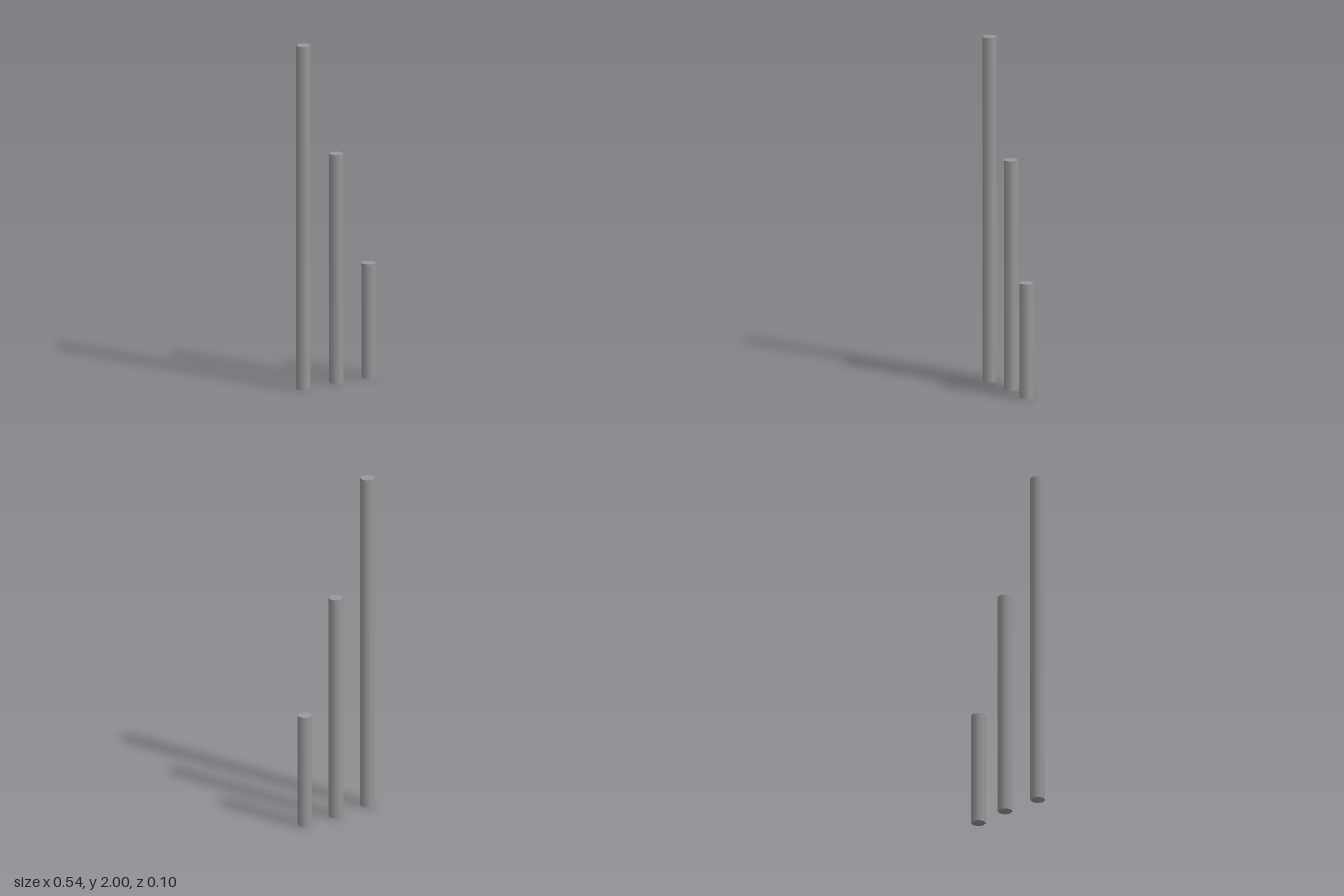
import * as THREE from 'three';

const RADIUS = 0.042;

// Three upright eight-sided rods in descending height
const RODS = [
  { name: 'tallRod', x: -0.228, z: 0.0063, height: 2 },
  { name: 'middleRod', x: 0.0105, z: -0.0063, height: 1.333 },
  { name: 'shortRod', x: 0.228, z: 0.0063, height: 0.667 },
];

export function createModel() {
  const group = new THREE.Group();
  group.name = 'steppedRods';
  const material = new THREE.MeshStandardMaterial({ color: 0x999999 });

  for (const { name, x, z, height } of RODS) {
    const rod = new THREE.Mesh(new THREE.CylinderGeometry(RADIUS, RADIUS, height, 8), material);
    rod.name = name;
    rod.position.set(x, height / 2, z);
    group.add(rod);
  }
  return group;
}
